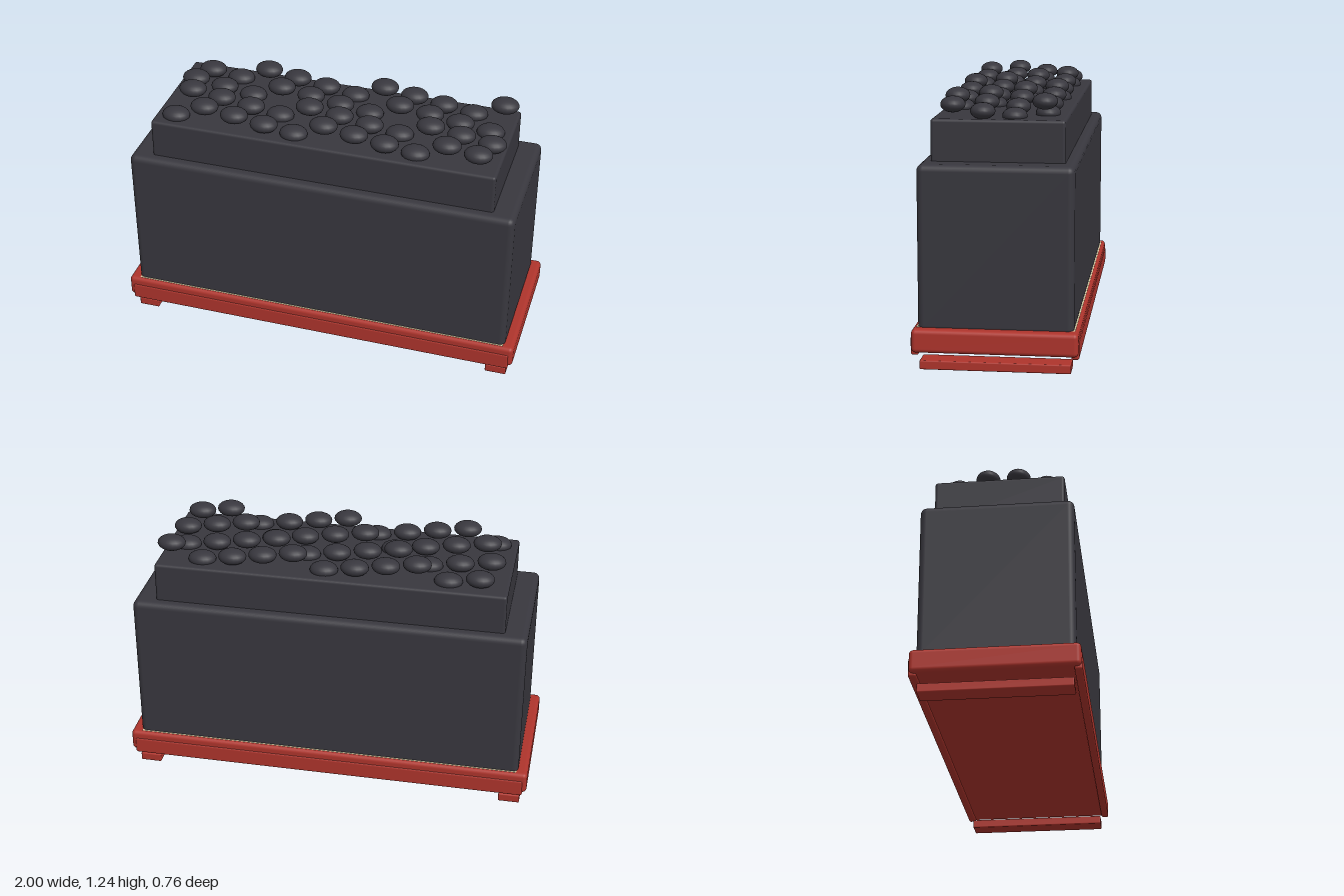
import * as THREE from 'three';
import { RoundedBoxGeometry } from 'three/addons/geometries/RoundedBoxGeometry.js';

export function createModel() {
  const group = new THREE.Group();
  const charcoal = new THREE.MeshStandardMaterial({ color: 0x38373e });
  charcoal.name = 'charcoal';
  const red = new THREE.MeshStandardMaterial({ color: 0xae342c });
  red.name = 'red';
  const cream = new THREE.MeshStandardMaterial({ color: 0xd8cfa8 });
  cream.name = 'cream';

  // Rounded block given by its size, bottom height and centre
  function block(name, material, w, h, d, bottom, radius, x = 0, z = 0) {
    const mesh = new THREE.Mesh(new RoundedBoxGeometry(w, h, d, 3, radius), material);
    mesh.name = name;
    mesh.position.set(x, bottom + h / 2, z);
    group.add(mesh);
  }

  // Main body and the smaller tray on top
  block('body', charcoal, 1.906, 0.76, 0.704, 0.17, 0.03);
  block('topTray', charcoal, 1.69, 0.24, 0.606, 0.88, 0.014);

  // Base with a thin seam around the body
  block('base', red, 2, 0.108, 0.75, 0.084, 0.02);
  const seam = new THREE.Mesh(new THREE.BoxGeometry(1.89, 0.01, 0.716), cream);
  seam.name = 'seam';
  seam.position.y = 0.188;
  group.add(seam);

  // Long rails front and back, short feet left and right
  for (const s of [-1, 1]) {
    block('rail', red, 1.96, 0.085, 0.036, 0.07, 0.01, 0, s * 0.361);
    block('foot', red, 0.104, 0.042, 0.684, 0, 0.006, s * 0.915);
  }

  // Four staggered rows of pebbles at four repeating heights
  const pebbles = new THREE.Group();
  pebbles.name = 'pebbles';
  const pebbleGeometry = new THREE.SphereGeometry(1, 20, 14);
  pebbleGeometry.scale(0.068, 0.037, 0.057);
  for (let row = 0; row < 4; row++) {
    for (let i = 0; i < 11; i++) {
      const pebble = new THREE.Mesh(pebbleGeometry, charcoal);
      pebble.name = 'pebble';
      const level = (3 * (i + row)) % 4;
      pebble.position.set(
        -0.745 + (row % 2) * 0.037 + i * 0.1487,
        1.128 + level * 0.0235,
        0.215 - row * 0.14
      );
      pebbles.add(pebble);
    }
  }
  group.add(pebbles);
  return group;
}
